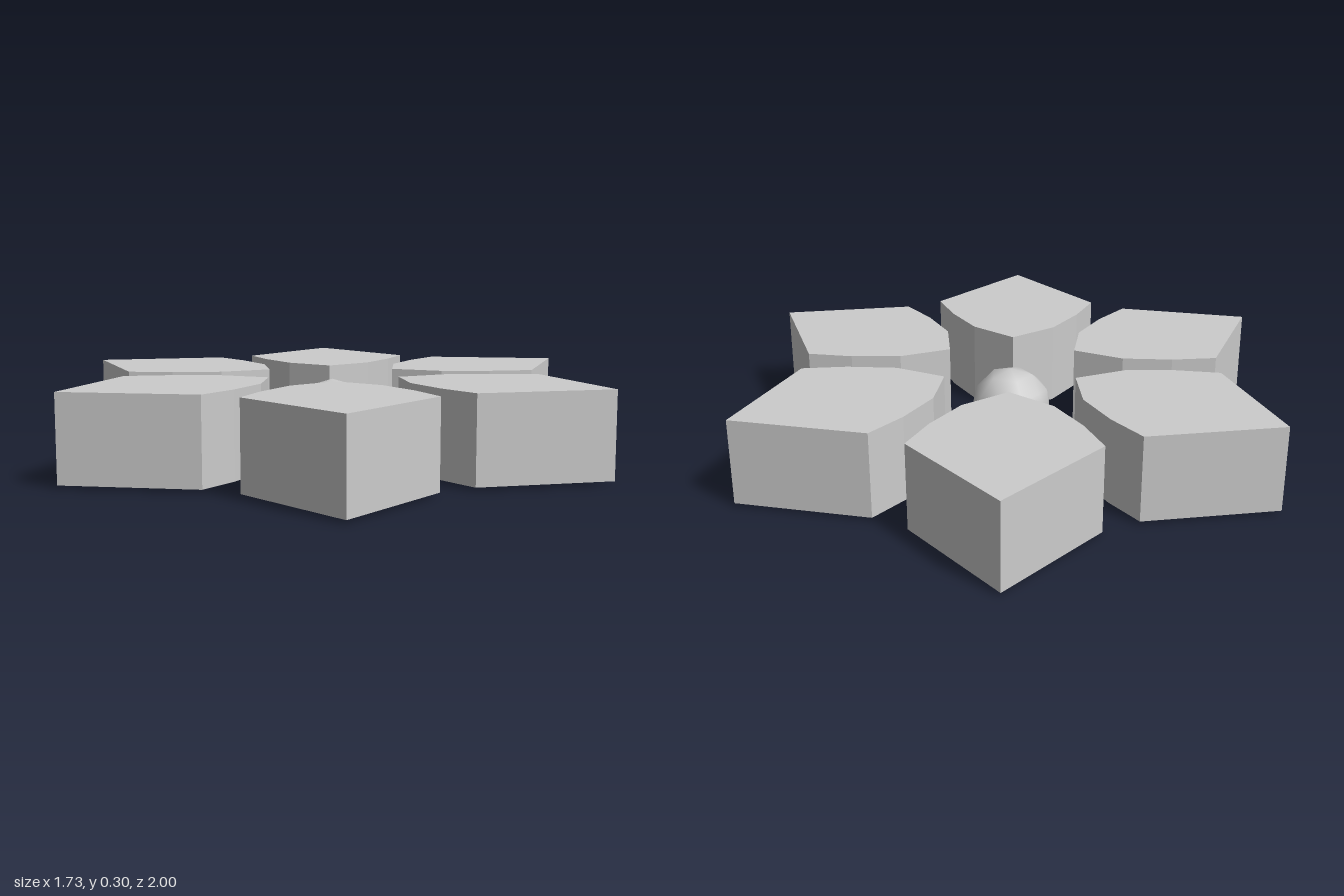
import * as THREE from 'three';

const PETALS = 6;

export function createModel() {
  const group = new THREE.Group();
  const material = new THREE.MeshStandardMaterial({ color: 0xcccccc });

  // Half outline of a petal, from its inner point to its outer tip
  const half = [[0, 0.254], [0.147, 0.363], [0.237, 0.508], [0.297, 0.651], [0, 1]];
  const mirrored = half.slice(1, -1).reverse().map(([x, y]) => [-x, y]);
  const outline = [...half, ...mirrored].map(([x, y]) => new THREE.Vector2(x, y));

  // Thick flat petal, laid down so its outline faces up
  const petalGeometry = new THREE.ExtrudeGeometry(new THREE.Shape(outline), {
    depth: 0.29,
    bevelEnabled: false,
  });
  petalGeometry.rotateX(-Math.PI / 2);

  // Ring of petals
  for (let i = 0; i < PETALS; i++) {
    const petal = new THREE.Mesh(petalGeometry, material);
    petal.name = `petal${i + 1}`;
    petal.position.y = 0.01;
    petal.rotation.y = (i / PETALS) * Math.PI * 2;
    group.add(petal);
  }

  // Smooth low-poly ball in the middle, turned to stand on one of its corners
  const ballGeometry = new THREE.IcosahedronGeometry(0.14, 1);
  ballGeometry.rotateZ(Math.atan(2 / (1 + Math.sqrt(5))));
  const ball = new THREE.Mesh(ballGeometry, material);
  ball.name = 'centerBall';
  ball.position.y = 0.14;
  group.add(ball);

  return group;
}
